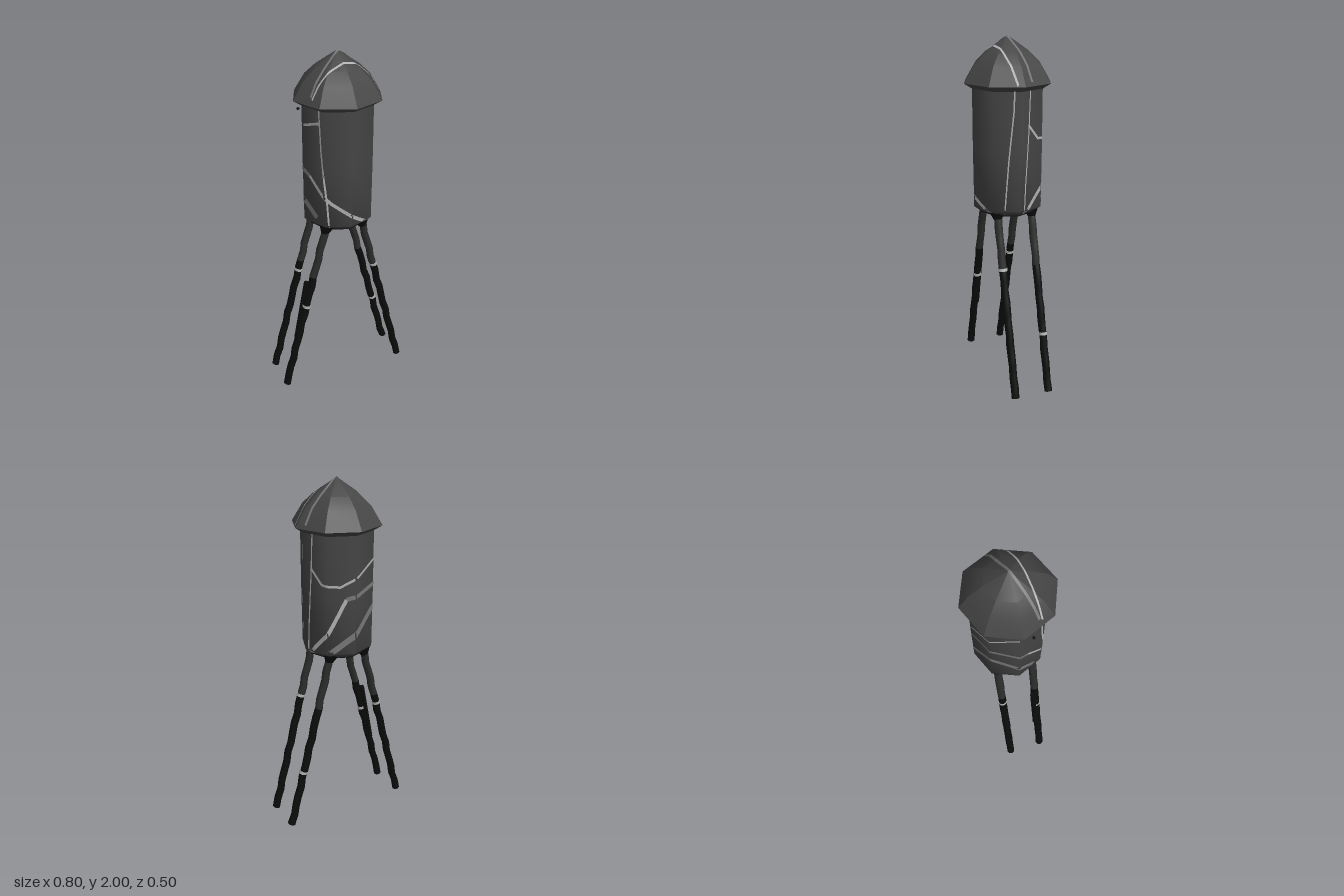
import * as THREE from 'three';
import { toCreasedNormals } from 'three/addons/utils/BufferGeometryUtils.js';

const SIDES = 8, STEP = Math.PI * 2 / SIDES, CX = 0.005;
const tankProfile = [[0, 1.035], [0.165, 1.03], [0.203, 1.06], [0.206, 1.4], [0.206, 1.74]];
const roofProfile = [[0.205, 1.725], [0.252, 1.755], [0.19, 1.855], [0.125, 1.915], [0, 2]];

const paint = (color, extra = {}) =>
  new THREE.MeshStandardMaterial({ color, side: THREE.DoubleSide, ...extra });

function add(parent, name, geometry, material) {
  const mesh = new THREE.Mesh(geometry, material);
  mesh.name = name;
  parent.add(mesh);
  return mesh;
}

// eight-sided turned shape, with a corner facing the front
function turned(profile, crease) {
  const g = new THREE.LatheGeometry(profile.map(p => new THREE.Vector2(...p)), SIDES);
  return toCreasedNormals(g.toNonIndexed(), crease);
}

// ratio of the eight-sided outline to its corner radius at an angle
function outline(phi) {
  const a = ((phi % STEP) + STEP) % STEP;
  return Math.cos(STEP / 2) / Math.cos(a - STEP / 2);
}

// value of one profile column found from the other
function lookup(profile, from, to, value) {
  for (let i = 0; i < profile.length - 1; i++) {
    const a = profile[i], b = profile[i + 1];
    const lo = Math.min(a[from], b[from]), hi = Math.max(a[from], b[from]);
    if (value >= lo && value <= hi && hi > lo) {
      return THREE.MathUtils.lerp(a[to], b[to], (value - a[from]) / (b[from] - a[from]));
    }
  }
  return profile[profile.length - 1][to];
}

// point on the tank wall from arc length and height
function onTank(u, y) {
  const phi = u / 0.2;
  const h = THREE.MathUtils.clamp(y, 1.031, 1.73);
  const r = lookup(tankProfile.slice(1), 1, 0, h) * outline(phi) + 0.002;
  return [CX + r * Math.sin(phi), h, r * Math.cos(phi)];
}

// point on the roof from its place in plan
function onRoof(x, z) {
  const r = Math.min(Math.hypot(x, z) / outline(Math.atan2(x, z)), 0.252);
  return [CX + x, lookup(roofProfile.slice(1), 0, 1, r) + 0.003, z];
}

// thin strip following a surface
function strip(points, width, map) {
  const path = [];
  points.forEach((p, i) => {
    const q = points[i + 1];
    if (!q) return path.push(p);
    for (let k = 0; k < 10; k++) path.push([0, 1].map(j => p[j] + (q[j] - p[j]) * k / 10));
  });
  const pos = [], index = [];
  path.forEach((p, i) => {
    const a = path[Math.max(i - 1, 0)], b = path[Math.min(i + 1, path.length - 1)];
    const du = b[0] - a[0], dv = b[1] - a[1], s = width / 2 / Math.hypot(du, dv);
    pos.push(...map(p[0] - dv * s, p[1] + du * s), ...map(p[0] + dv * s, p[1] - du * s));
    const n = i * 2;
    if (i) index.push(n - 2, n - 1, n, n - 1, n + 1, n);
  });
  const g = new THREE.BufferGeometry();
  g.setAttribute('position', new THREE.Float32BufferAttribute(pos, 3));
  g.setIndex(index);
  g.computeVertexNormals();
  return g;
}

// uneven round pole between two heights of a leg, measured along its axis
function pole(from, to, radius, seed) {
  const g = new THREE.CylinderGeometry(radius, radius, to - from, 8, Math.max(1, Math.round((to - from) / 0.06)));
  g.translate(0, (from + to) / 2, 0);
  const p = g.attributes.position;
  for (let i = 0; i < p.count; i++) {
    const y = p.getY(i);
    p.setX(i, p.getX(i) + 0.004 * Math.sin(y * 38 + seed));
    p.setZ(i, p.getZ(i) * (1.08 + 0.04 * Math.sin(y * 27 + seed)));
  }
  g.computeVertexNormals();
  return toCreasedNormals(g.toNonIndexed(), 0.9);
}

export function createModel() {
  const group = new THREE.Group();
  const shell = paint(0x454545), upperLeg = paint(0x2c2c2c), lowerLeg = paint(0x0c0c0c);
  const pale = paint(0xb0b0b0), grey = paint(0x777777);

  // tank and its dark underside
  add(group, 'tank', turned(tankProfile, 0.9), shell).position.x = CX;
  const base = add(group, 'tankUnderside', new THREE.CylinderGeometry(0.165, 0.165, 0.01, SIDES), lowerLeg);
  base.position.set(CX, 1.03, 0);

  // pointed roof with flared eaves
  add(group, 'roof', turned(roofProfile, 0.5), shell).position.x = CX;

  // cracks in the tank wall: [degrees from the front, height]
  const wallCracks = [
    { w: 0.01, m: pale, p: [[307, 1.73], [311, 1.5], [320, 1.2], [323, 1.04]] },
    { w: 0.008, m: pale, p: [[79, 1.73], [78, 1.62], [70, 1.35], [63, 1.04]] },
    { w: 0.008, m: pale, p: [[107, 1.73], [104, 1.5], [98, 1.2], [96, 1.04]] },
    { w: 0.014, m: pale, p: [[104, 1.54], [125, 1.46], [155, 1.45], [225, 1.57], [310, 1.66]] },
    { w: 0.024, m: grey, p: [[165, 1.38], [225, 1.43], [270, 1.37], [285, 1.34]] },
    { w: 0.022, m: pale, p: [[97, 1.04], [135, 1.18], [165, 1.38]] },
    { w: 0.02, m: pale, p: [[285, 1.34], [327, 1.2], [374, 1.09], [400, 1.04]] },
    { w: 0.035, m: grey, p: [[135, 1.06], [180, 1.17], [225, 1.3], [262, 1.21], [300, 1.1]] },
  ];
  wallCracks.forEach(({ w, m, p }) => add(group, 'tankCrack',
    strip(p.map(([d, y]) => [THREE.MathUtils.degToRad(d) * 0.2, y]), w, onTank), m));

  // cracks across the roof, in plan
  add(group, 'roofCrack', strip([[-0.19, 0.095], [-0.1, 0.055], [0, 0.005], [0.1, -0.025], [0.22, -0.05]], 0.014, onRoof), grey);
  add(group, 'roofCrack', strip([[-0.19, 0.11], [0, 0.08], [0.12, 0.06], [0.235, 0.035]], 0.01, onRoof), pale);

  // four splayed legs, each with a crack at its own height
  const legs = [[1, 1, 0.72], [-1, 1, 0.53], [1, -1, 0.33], [-1, -1, 0.66]];
  legs.forEach(([sx, sz, crackY], i) => {
    const leg = new THREE.Group();
    leg.name = 'leg';
    const tilt = Math.atan2(0.27, 1.03), c = Math.cos(tilt);
    const top = 1.045 / c, split = 0.72 / c, crack = crackY / c;
    add(leg, 'lowerLeg', pole(0, split, 0.022, i), lowerLeg);
    add(leg, 'upperLeg', pole(split, top, 0.022, i), upperLeg);
    const band = add(leg, 'legCrack', pole(crack - 0.008, crack + 0.008, 0.0245, i), pale);
    band.rotation.z = 0;
    // flared joint under the tank
    const joint = add(leg, 'legJoint', new THREE.CylinderGeometry(0.045, 0.022, 0.05, SIDES), lowerLeg);
    joint.position.y = top - 0.03;
    leg.rotation.z = sx * tilt;
    leg.position.set(sx * 0.378, 0.006, sz * 0.103);
    group.add(leg);
  });

  // bulging splinter on the front leg, and a loose chip by the eaves
  const splinter = add(group, 'splinter', new THREE.CylinderGeometry(0.018, 0.014, 0.38, 6), lowerLeg);
  splinter.position.set(-0.262, 0.5, 0.085);
  splinter.rotation.z = -0.2;
  add(group, 'chip', new THREE.BoxGeometry(0.012, 0.01, 0.012), lowerLeg).position.set(-0.24, 1.73, 0.05);
  return group;
}
